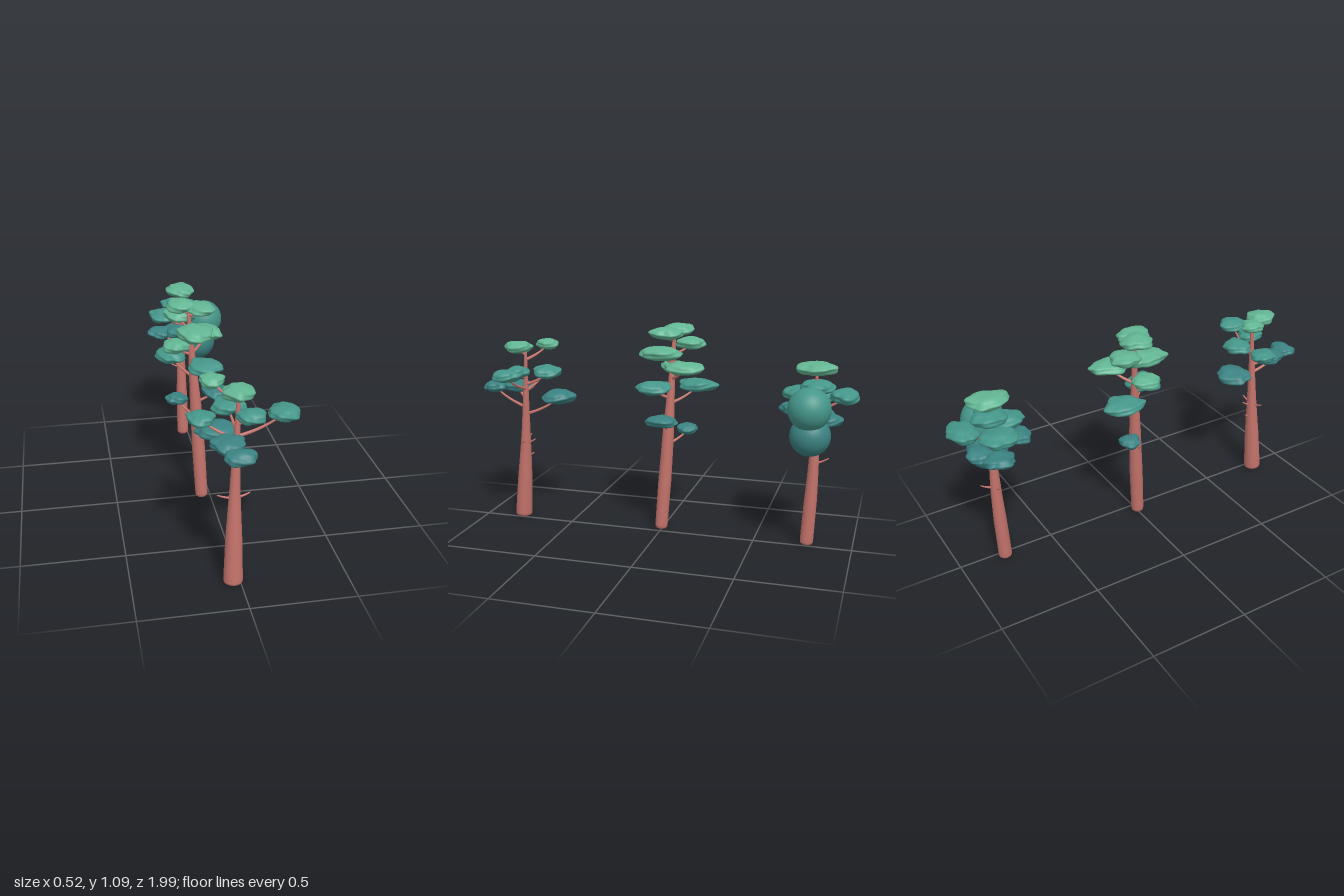
import * as THREE from 'three';
import { mergeVertices } from 'three/addons/utils/BufferGeometryUtils.js';

const mat = (name, color) => Object.assign(new THREE.MeshStandardMaterial({ color }), { name });
const V = (p) => new THREE.Vector3(...p);

const bark = mat('reddish bark', 0xc2726a);
const light = mat('light green foliage', 0x62b593);
const mid = mat('teal foliage', 0x45968a);
const dark = mat('dark teal foliage', 0x3b8282);
const leaf = (y) => (y > 0.845 ? light : y > 0.73 ? mid : dark);

// Shares vertices so that the surface shades smoothly
function smooth(geo) {
  geo.deleteAttribute('normal');
  geo.deleteAttribute('uv');
  const g = mergeVertices(geo, 1e-5);
  g.computeVertexNormals();
  return g;
}

// Tapered tube along a curve, closed with a rounded start and a pointed end
function limb(curve, radii, segments, sides) {
  const geo = new THREE.TubeGeometry(curve, segments, 1, sides);
  const pos = geo.attributes.position, nor = geo.attributes.normal;
  const startU = [0, 0.002, 0.009, 0.02], startR = [0, 0.75, 0.95, 1];
  for (let i = 0; i <= segments; i++) {
    const u = i < 4 ? startU[i] : 0.02 + 0.98 * (i - 3) / (segments - 3);
    const f = u * (radii.length - 1), k = Math.min(Math.floor(f), radii.length - 2);
    let r = THREE.MathUtils.lerp(radii[k], radii[k + 1], f - k) * (i < 4 ? startR[i] : 1);
    if (i === segments) r = 0;
    const c = curve.getPointAt(u);
    for (let j = 0; j <= sides; j++) {
      const n = i * (sides + 1) + j;
      pos.setXYZ(n, c.x + nor.getX(n) * r, Math.max(0, c.y + nor.getY(n) * r), c.z + nor.getZ(n) * r);
    }
  }
  return smooth(geo);
}

// Flattened, lumpy foliage pad with a wavy rim; wider pads are thicker
function pad(w, d, seed) {
  const h = 0.035 + 0.2 * w;
  const geo = new THREE.IcosahedronGeometry(1, 9);
  const pos = geo.attributes.position, v = new THREE.Vector3();
  for (let i = 0; i < pos.count; i++) {
    v.fromBufferAttribute(pos, i).normalize();
    const a = Math.atan2(v.z, v.x), rim = 1 - v.y * v.y;
    const lump = 1 + rim * (0.05 * Math.sin(3 * a + seed) + 0.04 * Math.sin(5 * a + seed * 2.3) + 0.025 * Math.sin(9 * a + seed * 3.1))
      + 0.05 * Math.sin(5 * v.x + seed) * Math.sin(5 * v.z + seed * 1.7) + 0.04 * Math.sin(7 * v.y + 4 * v.x + seed);
    const wave = 0.15 * Math.sin(2 * a + seed * 1.3) * rim;
    pos.setXYZ(i, v.x * lump * w / 2, (v.y * lump + wave) * h / 2, v.z * lump * d / 2);
  }
  return smooth(geo);
}

// Trunk through three points with base radius r0 and middle radius r1.
// Returns functions that grow the other parts on it.
function startTree(model, name, base, middle, top, r0, r1) {
  const tree = new THREE.Group();
  tree.name = name;
  model.add(tree);
  const add = (part, geo, material, x = 0, y = 0, z = 0) => {
    const m = new THREE.Mesh(geo, material);
    m.name = part;
    m.position.set(x, y, z);
    tree.add(m);
  };
  const path = new THREE.CatmullRomCurve3([base, middle, top].map(V));
  const onTrunk = (y) => path.getPointAt(THREE.MathUtils.clamp(y / top[1], 0, 0.97));
  add('trunk', limb(path, [r0, (r0 + r1) / 2 + 0.003, r1, r1 * 0.6, r1 * 0.26], 40, 20), bark);

  // Thin limb that leaves the trunk and sweeps up to its tip
  const branch = (part, startY, x, y, z, r) => {
    const a = onTrunk(startY), b = new THREE.Vector3(x, y, z);
    const bend = a.clone().lerp(b, 0.55);
    bend.y -= 0.12 * a.distanceTo(b);
    add(part, limb(new THREE.QuadraticBezierCurve3(a, bend, b), [r, r * 0.75, r * 0.45], 12, 8), bark);
  };
  return {
    // Foliage pad, with a branch if it stands away from the trunk
    foliage(x, y, z, w, d) {
      add('foliagePad', pad(w, d, 40 * x + 25 * y + 30 * z), leaf(y), x, y, z);
      const c = onTrunk(y), reach = Math.hypot(x - c.x, z - c.z);
      if (reach > 0.03) branch('branch', y - 0.015 - 0.45 * reach, x, y - 0.008, z, 0.009);
    },
    twig: (startY, x, y, z) => branch('twig', startY, x, y, z, 0.007),
    crown: (x, y, z, r) => add('roundCrown', new THREE.SphereGeometry(r, 40, 28), leaf(y), x, y, z),
  };
}

export function createModel() {
  const model = new THREE.Group();
  model.name = 'treeRow';

  // Front tree: open, with long branches
  const front = startTree(model, 'frontTree', [-0.035, 0, 0.8], [-0.025, 0.45, 0.766], [-0.008, 0.94, 0.74], 0.046, 0.025);
  front.foliage(-0.02, 0.947, 0.785, 0.14, 0.145);
  front.foliage(-0.11, 0.957, 0.66, 0.11, 0.12);
  front.foliage(0.185, 0.83, 0.765, 0.14, 0.15);
  front.foliage(0.04, 0.825, 0.77, 0.13, 0.12);
  front.foliage(-0.03, 0.818, 0.63, 0.15, 0.14);
  front.foliage(-0.165, 0.8, 0.7, 0.125, 0.13);
  front.foliage(-0.04, 0.725, 0.94, 0.14, 0.115);
  front.foliage(-0.07, 0.727, 0.82, 0.15, 0.16);
  front.foliage(-0.075, 0.68, 0.585, 0.19, 0.17);
  front.twig(0.43, -0.11, 0.455, 0.77);
  front.twig(0.43, 0.05, 0.45, 0.76);
  front.twig(0.42, -0.02, 0.45, 0.705);
  front.twig(0.345, -0.03, 0.37, 0.72);

  // Middle tree: tallest, leaning, with tiered pads
  const middle = startTree(model, 'middleTree', [-0.045, 0, 0.005], [-0.068, 0.5, -0.025], [-0.1, 1.05, -0.05], 0.033, 0.03);
  middle.foliage(-0.135, 1.06, -0.06, 0.14, 0.16);
  middle.foliage(-0.04, 1.05, -0.02, 0.135, 0.17);
  middle.foliage(-0.14, 0.99, -0.125, 0.145, 0.15);
  middle.foliage(-0.08, 0.938, 0.02, 0.18, 0.22);
  middle.foliage(0.01, 0.885, -0.13, 0.15, 0.2);
  middle.foliage(-0.17, 0.857, -0.03, 0.135, 0.14);
  middle.foliage(-0.03, 0.767, 0.045, 0.17, 0.18);
  middle.foliage(-0.18, 0.765, -0.155, 0.16, 0.2);
  middle.foliage(0.025, 0.605, -0.015, 0.125, 0.165);
  middle.foliage(-0.155, 0.532, -0.11, 0.115, 0.105);
  middle.twig(0.42, -0.12, 0.452, -0.02);

  // Back tree: dense, with two round crowns on its left
  const back = startTree(model, 'backTree', [-0.03, 0, -0.77], [-0.033, 0.45, -0.789], [-0.035, 0.91, -0.785], 0.034, 0.025);
  back.foliage(-0.035, 0.91, -0.785, 0.16, 0.2);
  back.foliage(-0.035, 0.78, -0.925, 0.19, 0.14);
  back.foliage(-0.035, 0.785, -0.7, 0.16, 0.15);
  back.foliage(-0.13, 0.76, -0.79, 0.17, 0.18);
  back.foliage(-0.03, 0.82, -0.79, 0.17, 0.17);
  back.foliage(-0.15, 0.655, -0.8, 0.145, 0.15);
  back.foliage(-0.055, 0.652, -0.86, 0.14, 0.12);
  back.foliage(-0.06, 0.7, -0.67, 0.15, 0.13);
  back.twig(0.43, -0.03, 0.465, -0.865);
  back.twig(0.43, -0.1, 0.46, -0.79);
  back.crown(0.101, 0.737, -0.77, 0.105);
  back.crown(0.064, 0.595, -0.775, 0.1);

  return model;
}
